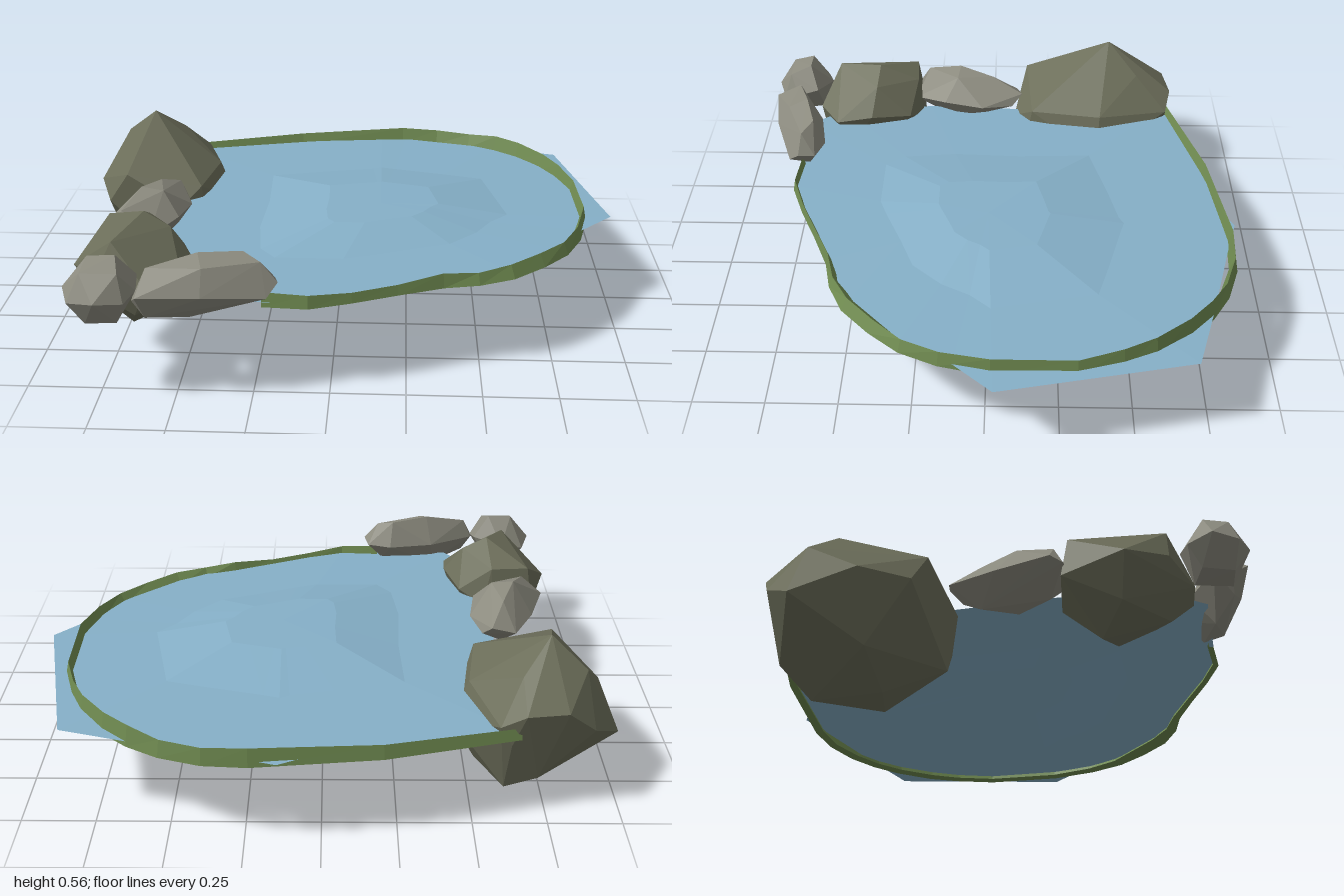
import * as THREE from 'three';
import { ConvexGeometry } from 'three/addons/geometries/ConvexGeometry.js';

const material = (color, side = THREE.FrontSide) =>
  new THREE.MeshStandardMaterial({ color, side, flatShading: true });

// Each boulder is the hull of a few corner points (x, y, z).
function makeRock(name, color, corners) {
  const mesh = new THREE.Mesh(
    new ConvexGeometry(corners.map((c) => new THREE.Vector3(...c))), material(color));
  mesh.name = name;
  return mesh;
}

// Joins cross-sections of equal length into a skin.
function loft(sections, closed) {
  const n = sections[0].length, pos = [], index = [];
  sections.forEach((s) => s.forEach((p) => pos.push(...p)));
  for (let i = 0; i < sections.length - 1; i++) {
    for (let j = 0; j < (closed ? n : n - 1); j++) {
      const a = i * n + j, b = i * n + (j + 1) % n;
      index.push(a, a + n, b, b, a + n, b + n);
    }
  }
  const g = new THREE.BufferGeometry();
  g.setAttribute('position', new THREE.Float32BufferAttribute(pos, 3));
  g.setIndex(index);
  g.computeVertexNormals();
  return g;
}

// Grassy bank: outer line x, z, crest height, width to the inner foot.
const BANK = [
  [-0.65, -0.71, 0.34, 0.02], [-0.2, -0.83, 0.35, 0.025], [0.23, -0.88, 0.365, 0.03],
  [0.38, -0.87, 0.36, 0.03], [0.52, -0.825, 0.36, 0.035], [0.63, -0.76, 0.375, 0.035],
  [0.72, -0.68, 0.375, 0.035], [0.81, -0.56, 0.37, 0.035], [0.86, -0.45, 0.365, 0.03],
  [0.905, -0.3, 0.355, 0.03], [0.91, -0.02, 0.36, 0.03], [0.87, 0.15, 0.35, 0.035],
  [0.81, 0.28, 0.345, 0.045], [0.72, 0.385, 0.345, 0.06], [0.61, 0.485, 0.345, 0.06],
  [0.49, 0.54, 0.34, 0.04], [0.37, 0.565, 0.35, 0.025], [0.22, 0.625, 0.335, 0.02],
  [0.07, 0.69, 0.335, 0.018], [-0.07, 0.74, 0.345, 0.02], [-0.22, 0.73, 0.35, 0.02],
];

function makeBank() {
  const sections = BANK.map(([x, z, top, w], i) => {
    const a = BANK[Math.max(i - 1, 0)], b = BANK[Math.min(i + 1, BANK.length - 1)];
    const dx = b[0] - a[0], dz = b[1] - a[1], l = Math.hypot(dx, dz);
    const nx = -dz / l, nz = dx / l; // points towards the water
    return [[x, 0.3, z], [x + nx * w * 0.4, top, z + nz * w * 0.4], [x + nx * w, 0.305, z + nz * w]];
  });
  const mesh = new THREE.Mesh(loft(sections, true), material(0x6f8a50, THREE.DoubleSide));
  mesh.name = 'grassBank';
  return mesh;
}

// Water sheet, gently raised in the middle.
function makeWater() {
  const shore = [
    [-0.64, -0.69], [-0.2, -0.8], [0.08, -0.86], [0.14, -0.89], [0.24, -0.86], [0.6, -0.765],
    [0.86, -0.69], [1, -0.03], [0.88, 0.1], [0.78, 0.28], [0.6, 0.47], [0.36, 0.56],
    [0.07, 0.68], [-0.07, 0.73], [-0.5, 0.73], [-0.6, 0.6], [-0.64, 0.25], [-0.62, -0.2],
  ];
  const rings = [[1, 0.318], [0.55, 0.325], [0.25, 0.368], [0, 0.37]].map(([s, y]) =>
    shore.map(([x, z]) => [0.15 + (x - 0.15) * s, y, z * s]));
  const mesh = new THREE.Mesh(
    loft(rings.reverse(), true), material(0x86b0c8, THREE.DoubleSide));
  mesh.name = 'water';
  return mesh;
}

export function createModel() {
  const model = new THREE.Group();
  model.name = 'pond';
  const dark = 0x6b6d59, light = 0x8c8b7f;

  model.add(makeWater(), makeBank());

  // Boulders along the open side of the pond
  model.add(
    makeRock('largeBoulder', dark, [
      [-0.76, 0.56, -0.47], [-0.88, 0.46, -0.53], [-0.66, 0.46, -0.58], [-0.66, 0.47, -0.4],
      [-1, 0.23, -0.54], [-0.9, 0.3, -0.65], [-0.8, 0.39, -0.7], [-0.66, 0.39, -0.72],
      [-0.58, 0.34, -0.7], [-0.5, 0.36, -0.43], [-0.54, 0.36, -0.16], [-0.61, 0.3, -0.09],
      [-0.82, 0.41, -0.14], [-0.9, 0.29, -0.17], [-0.96, 0.32, -0.33], [-0.44, 0.21, -0.42],
      [-0.52, 0.2, -0.13], [-0.88, 0.08, -0.32], [-0.7, 0, -0.31], [-0.54, 0.005, -0.35],
      [-0.62, 0.03, -0.58], [-0.72, 0.12, -0.66], [-0.62, 0.27, -0.7], [-0.65, 0.08, -0.11],
    ]),
    makeRock('longStone', light, [
      [-0.61, 0.4, -0.12], [-0.7, 0.37, -0.1], [-0.78, 0.36, 0.07], [-0.84, 0.36, 0.26],
      [-0.82, 0.34, 0.3], [-0.66, 0.35, 0.31], [-0.57, 0.38, 0.19], [-0.545, 0.37, 0.04],
      [-0.58, 0.36, -0.08], [-0.66, 0.45, 0], [-0.71, 0.47, 0.13], [-0.63, 0.46, 0.14],
      [-0.76, 0.43, 0.26], [-0.7, 0.28, 0.24], [-0.62, 0.28, 0.12], [-0.66, 0.29, 0],
    ]),
    makeRock('middleBoulder', dark, [
      [-0.64, 0.51, 0.45], [-0.72, 0.47, 0.62], [-0.55, 0.46, 0.46], [-0.79, 0.44, 0.31],
      [-0.65, 0.44, 0.3], [-0.88, 0.33, 0.5], [-0.81, 0.3, 0.29], [-0.62, 0.3, 0.28],
      [-0.53, 0.34, 0.33], [-0.48, 0.36, 0.48], [-0.49, 0.33, 0.62], [-0.6, 0.34, 0.695],
      [-0.69, 0.28, 0.7], [-0.78, 0.35, 0.63], [-0.64, 0.24, 0.69], [-0.68, 0.13, 0.4],
      [-0.58, 0.15, 0.44], [-0.66, 0.18, 0.62], [-0.8, 0.2, 0.48], [-0.52, 0.23, 0.56],
      [-0.66, 0.25, 0.27],
    ]),
    makeRock('smallStone', light, [
      [-0.77, 0.475, 0.74], [-0.68, 0.48, 0.74], [-0.66, 0.45, 0.82], [-0.78, 0.45, 0.82],
      [-0.85, 0.38, 0.77], [-0.82, 0.36, 0.69], [-0.73, 0.38, 0.66], [-0.62, 0.4, 0.71],
      [-0.61, 0.38, 0.79], [-0.64, 0.36, 0.85], [-0.73, 0.37, 0.88], [-0.82, 0.36, 0.85],
      [-0.77, 0.28, 0.83], [-0.67, 0.28, 0.82], [-0.7, 0.28, 0.7], [-0.79, 0.29, 0.73],
    ]),
    makeRock('frontStone', light, [
      [-0.58, 0.45, 0.77], [-0.42, 0.485, 0.72], [-0.28, 0.475, 0.68], [-0.22, 0.455, 0.72],
      [-0.4, 0.46, 0.79], [-0.165, 0.39, 0.73], [-0.18, 0.38, 0.67], [-0.27, 0.38, 0.64],
      [-0.44, 0.38, 0.67], [-0.61, 0.38, 0.76], [-0.62, 0.36, 0.82], [-0.6, 0.39, 0.87],
      [-0.4, 0.38, 0.84], [-0.2, 0.35, 0.77], [-0.24, 0.31, 0.7], [-0.45, 0.27, 0.75],
      [-0.58, 0.3, 0.82],
    ]),
  );
  return model;
}
